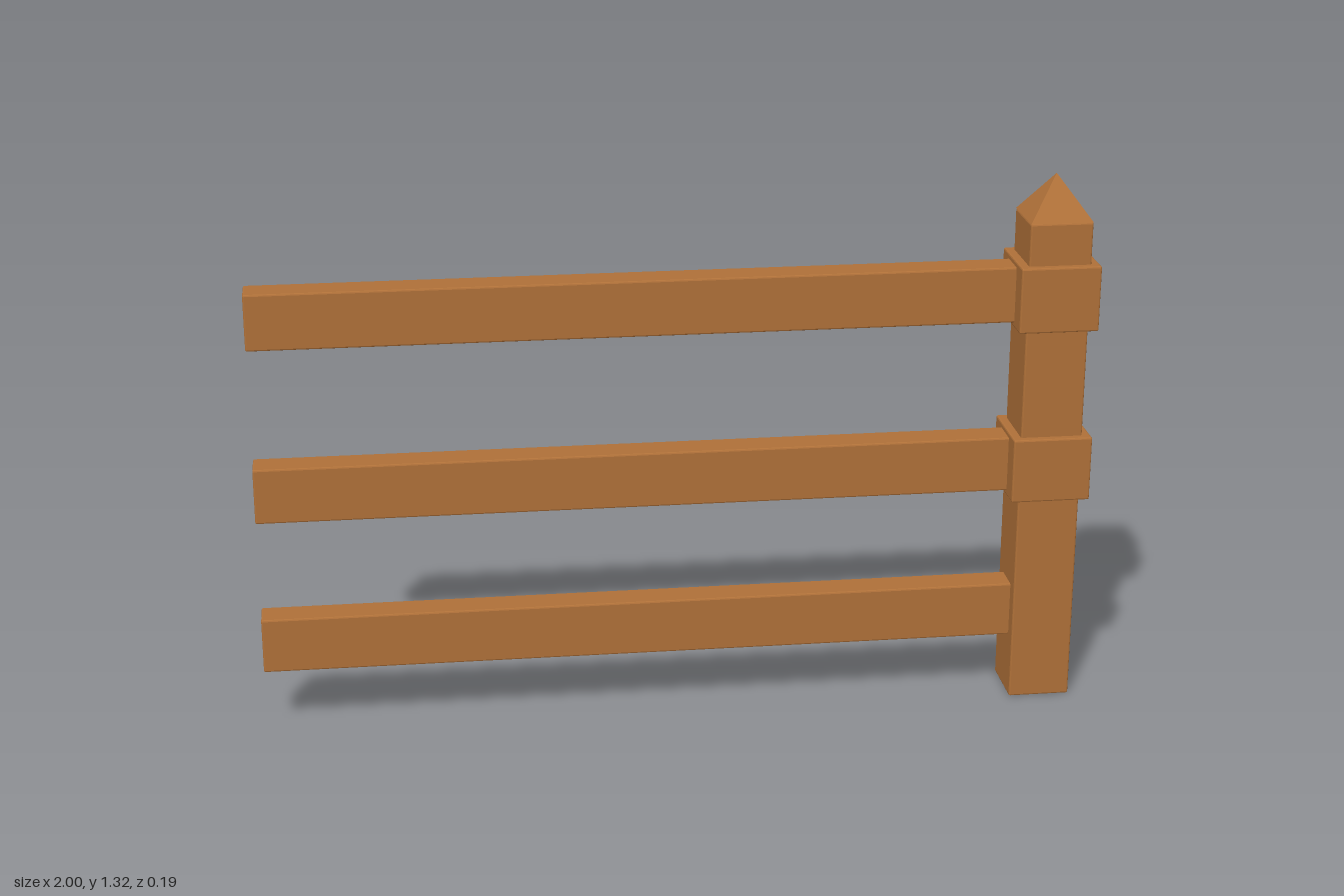
import * as THREE from 'three';
import { RoundedBoxGeometry } from 'three/addons/geometries/RoundedBoxGeometry.js';

export function createModel() {
  const group = new THREE.Group();
  const wood = new THREE.MeshStandardMaterial({ color: 0xb07139, flatShading: true });
  wood.name = 'brown wood';

  const postX = 0.904;
  const postHalf = 0.075;
  const postTop = 1.215;

  // A timber block with slightly eased edges, given by its x, y and z extents
  function timber(name, x0, x1, y0, y1, halfDepth) {
    const geometry = new RoundedBoxGeometry(x1 - x0, y1 - y0, halfDepth * 2, 1, 0.004);
    const mesh = new THREE.Mesh(geometry, wood);
    mesh.name = name;
    mesh.position.set((x0 + x1) / 2, (y0 + y1) / 2, 0);
    group.add(mesh);
  }

  // Upright post
  timber('post', postX - postHalf, postX + postHalf, 0, postTop, postHalf);

  // Pyramid cap
  const capHeight = 0.103;
  const capGeometry = new THREE.ConeGeometry(postHalf * Math.SQRT2, capHeight, 4);
  capGeometry.rotateY(Math.PI / 4);
  const cap = new THREE.Mesh(capGeometry, wood);
  cap.name = 'postCap';
  cap.position.set(postX, postTop + capHeight / 2, 0);
  group.add(cap);

  // Collars around the upper two joints
  const collarHalf = 0.096;
  [['upperCollar', 0.953, 1.113], ['middleCollar', 0.525, 0.685]].forEach(([name, y0, y1]) =>
    timber(name, postX - collarHalf, postX + collarHalf, y0, y1, collarHalf * 0.98));

  // Horizontal rails, running into the post
  [['upperRail', 1.033], ['middleRail', 0.605], ['lowerRail', 0.221]].forEach(([name, y]) =>
    timber(name, -1, postX - 0.05, y - 0.068, y + 0.068, 0.04));

  return group;
}
